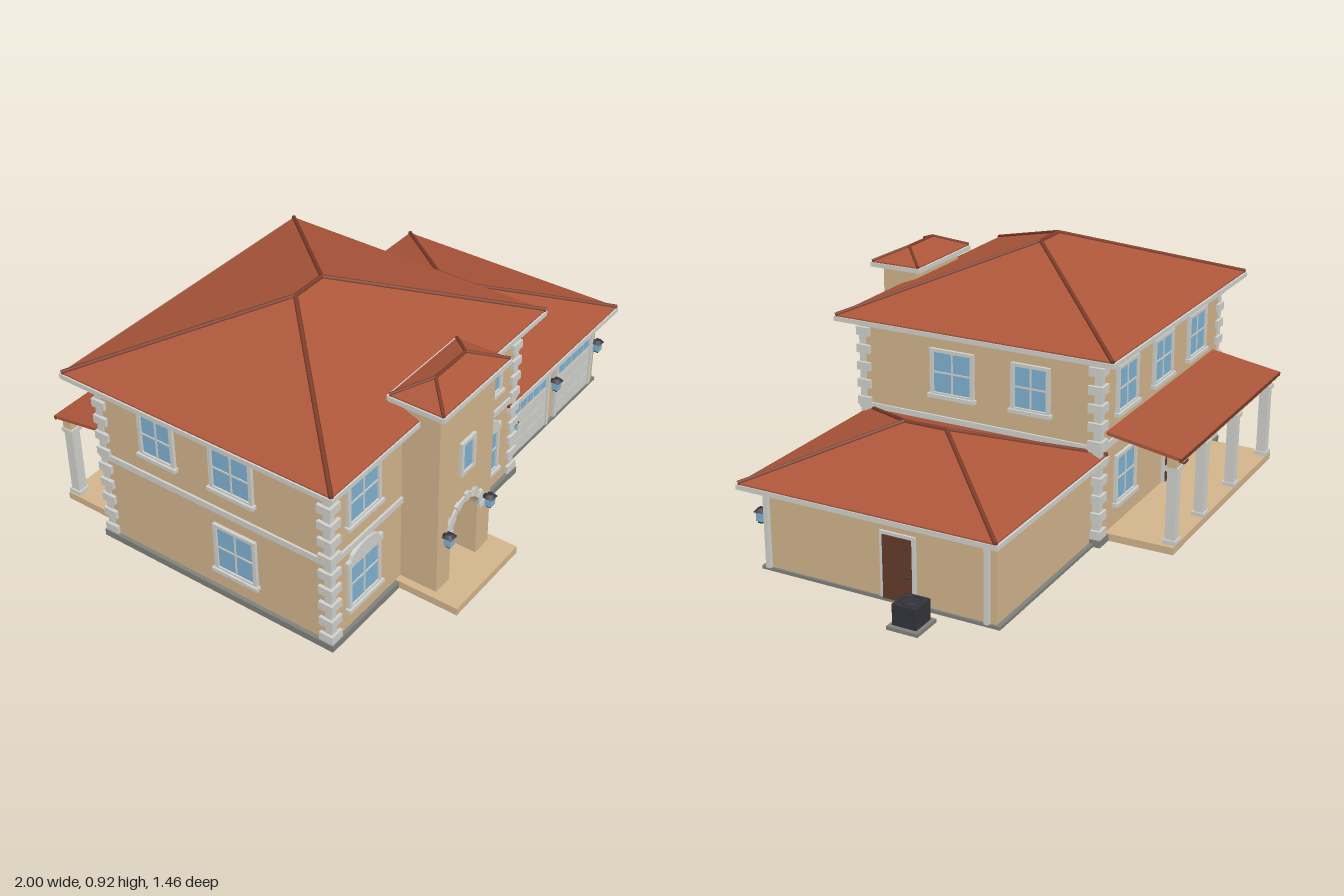
import * as THREE from 'three';

const mat = (name, color, side = THREE.FrontSide) => {
  const m = new THREE.MeshStandardMaterial({ color, side });
  m.name = name;
  return m;
};
const M = {
  wall: mat('tan stucco', 0xd2b48c),
  roof: mat('terracotta', 0xac563a),
  ridge: mat('dark terracotta', 0x7c3d2a),
  trim: mat('light trim', 0xd0d1cc),
  glass: mat('window glass', 0x80b2d2),
  door: mat('dark brown wood', 0x633b2b),
  base: mat('grey concrete', 0x80807b),
  dark: mat('charcoal metal', 0x33333b),
};

const add = (parent, name, geo, m, x = 0, y = 0, z = 0) => {
  const mesh = new THREE.Mesh(geo, m);
  mesh.name = name;
  mesh.position.set(x, y, z);
  parent.add(mesh);
  return mesh;
};
// box given by its limits on each axis
const span = (parent, name, m, x0, x1, y0, y1, z0, z1) =>
  add(parent, name, new THREE.BoxGeometry(x1 - x0, y1 - y0, z1 - z0), m, (x0 + x1) / 2, (y0 + y1) / 2, (z0 + z1) / 2);
const group = (parent, name, x = 0, y = 0, z = 0, turn = 0) => {
  const g = new THREE.Group();
  g.name = name;
  g.position.set(x, y, z);
  g.rotation.y = turn;
  parent.add(g);
  return g;
};

// hip roof with ridge half lengths rx, rz, eave slab, gutter and cap tiles
function hipRoof(parent, name, cx, cz, hx, hz, y0, y1, rx, rz, cap = 0.008) {
  const g = group(parent, name, cx, 0, cz);
  const sign = [[-1, 1], [1, 1], [1, -1], [-1, -1]];
  const low = sign.map(([a, b]) => new THREE.Vector3(a * hx, y0, b * hz));
  const top = sign.map(([a, b]) => new THREE.Vector3(a * rx, y1, b * rz));
  const pts = [];
  for (let i = 0; i < 4; i++) {
    const j = (i + 1) % 4;
    pts.push(low[i], low[j], top[j]);
    if (top[i].distanceTo(top[j]) > 1e-4) pts.push(low[i], top[j], top[i]);
  }
  const geo = new THREE.BufferGeometry().setFromPoints(pts);
  geo.computeVertexNormals();
  add(g, 'roofSlopes', geo, M.roof);
  span(g, 'eaveSlab', M.roof, -hx, hx, y0 - 0.01, y0, -hz, hz);
  for (const s of [-1, 1]) {
    span(g, 'gutter', M.trim, -hx - 0.003, hx + 0.003, y0 - 0.022, y0 - 0.005, s * hz - 0.008, s * hz + 0.003 * (s + 1));
    span(g, 'gutter', M.trim, s * hx - 0.006, s * hx + 0.004, y0 - 0.022, y0 - 0.005, -hz, hz);
  }
  const capTile = (a, b) => {
    const d = b.clone().sub(a);
    const c = add(g, 'capTiles', new THREE.CylinderGeometry(cap, cap, d.length(), 8), M.ridge);
    c.position.copy(a).addScaledVector(d, 0.5);
    c.quaternion.setFromUnitVectors(new THREE.Vector3(0, 1, 0), d.normalize());
  };
  low.forEach((p, i) => capTile(p, top[i]));
  capTile(top[0], top[2]);
}

// framed window facing local +z, centred on its glass
function windowUnit(parent, x, y, z, turn, w, h, arched = false, sill = true) {
  const g = group(parent, 'window', x, y, z, turn);
  span(g, 'glass', M.glass, -w / 2, w / 2, -h / 2, h / 2, 0, 0.005);
  for (const s of [-1, 1]) {
    span(g, 'frameSide', M.trim, s * w / 2 - 0.007, s * w / 2 + 0.007, -h / 2, h / 2, 0, 0.012);
    span(g, 'frameRail', M.trim, -w / 2 - 0.007, w / 2 + 0.007, s * h / 2 - 0.006, s * h / 2 + 0.006, 0, 0.012);
  }
  if (sill) {
    span(g, 'mullion', M.trim, -0.003, 0.003, -h / 2, h / 2, 0, 0.008);
    span(g, 'transom', M.trim, -w / 2, w / 2, -0.003, 0.003, 0, 0.008);
    span(g, 'sill', M.trim, -w / 2 - 0.014, w / 2 + 0.014, -h / 2 - 0.014, -h / 2, 0, 0.02);
  }
  if (arched) {
    // stepped arched head
    const s = new THREE.Shape();
    const a = w / 2 + 0.014;
    s.moveTo(-a, h / 2 - 0.01).lineTo(a, h / 2 - 0.01).lineTo(a, h / 2 + 0.016).lineTo(a * 0.8, h / 2 + 0.016);
    s.lineTo(a * 0.72, h / 2 + 0.034).quadraticCurveTo(0, h / 2 + 0.07, -a * 0.72, h / 2 + 0.034);
    s.lineTo(-a * 0.8, h / 2 + 0.016).lineTo(-a, h / 2 + 0.016);
    add(g, 'archedHead', new THREE.ExtrudeGeometry(s, { depth: 0.014, bevelEnabled: false }), M.trim);
  }
}

// pair of glazed wooden leaves in a light frame, bottom at local y = 0
function doubleDoor(parent, x, y, z, turn, w, h) {
  const g = group(parent, 'doubleDoor', x, y, z, turn);
  span(g, 'doorFrame', M.trim, -w / 2 - 0.012, w / 2 + 0.012, 0, h + 0.012, 0, 0.008);
  for (const s of [-1, 1]) {
    const c = s * w / 4;
    span(g, 'doorLeaf', M.door, c - w / 4 + 0.008, c + w / 4 - 0.008, 0, h, 0, 0.013);
    span(g, 'doorGlass', M.glass, c - w / 9, c + w / 9, h * 0.58, h * 0.92, 0.01, 0.016);
  }
}

function lantern(parent, x, y, z) {
  const g = group(parent, 'lantern', x, y, z);
  span(g, 'bracket', M.dark, -0.006, 0.006, 0.005, 0.018, -0.03, 0);
  span(g, 'lampGlass', M.glass, -0.013, 0.013, -0.018, 0.016, -0.013, 0.013);
  span(g, 'lampFoot', M.dark, -0.009, 0.009, -0.025, -0.018, -0.009, 0.009);
  const cap = add(g, 'lampCap', new THREE.CylinderGeometry(0.012, 0.026, 0.014, 4), M.dark, 0, 0.022, 0);
  cap.rotation.y = Math.PI / 4;
}

export function createModel() {
  const house = new THREE.Group();
  house.name = 'house';
  const H = Math.PI / 2;

  // plinths, walls and string course
  span(house, 'mainPlinth', M.base, -0.94, 0.17, 0, 0.025, -0.475, 0.5);
  span(house, 'garagePlinth', M.base, 0.15, 0.84, 0, 0.012, -0.45, 0.45);
  span(house, 'mainWalls', M.wall, -0.925, 0.155, 0.02, 0.685, -0.46, 0.485);
  span(house, 'garageWalls', M.wall, 0.15, 0.832, 0.01, 0.31, -0.435, 0.44);
  span(house, 'stringCourse', M.trim, -0.933, 0.163, 0.343, 0.366, -0.468, 0.493);

  // corner quoins, alternately long and short
  for (const [cx, sx] of [[-0.925, 1], [0.155, -1]]) for (const [cz, sz] of [[-0.46, 1], [0.485, -1]])
    for (let i = 0; i < 20; i++) {
      const l = i % 2 ? 0.022 : 0.042, out = i % 2 ? 0.004 : 0.012, y = 0.042 + i * 0.0328;
      const e = l + out;
      add(house, 'quoin', new THREE.BoxGeometry(e, 0.031, e), M.trim, cx + sx * (l - out) / 2, y, cz + sz * (l - out) / 2);
    }

  // roofs
  hipRoof(house, 'mainRoof', -0.39, 0.01, 0.607, 0.538, 0.697, 0.908, 0.07, 0);
  hipRoof(house, 'garageRoof', 0.503, 0.01, 0.395, 0.477, 0.324, 0.478, 0, 0.08);
  hipRoof(house, 'entryRoof', -0.387, 0.557, 0.19, 0.1, 0.777, 0.822, 0.085, 0, 0.006);

  // entry tower with arched porch
  const ex = -0.387;
  const front = new THREE.Shape();
  front.moveTo(-0.158, 0.025).lineTo(-0.08, 0.025).lineTo(-0.08, 0.235);
  front.absarc(0, 0.235, 0.08, Math.PI, 0, true);
  front.lineTo(0.08, 0.025).lineTo(0.158, 0.025).lineTo(0.158, 0.765).lineTo(-0.158, 0.765);
  add(house, 'entryTower', new THREE.ExtrudeGeometry(front, { depth: 0.142, bevelEnabled: false, curveSegments: 20 }), M.wall, ex, 0, 0.485);
  const ring = new THREE.Shape();
  ring.absarc(0, 0, 0.102, 0, Math.PI, false);
  ring.absarc(0, 0, 0.08, Math.PI, 0, true);
  add(house, 'archTrim', new THREE.ExtrudeGeometry(ring, { depth: 0.01, bevelEnabled: false, curveSegments: 20 }), M.trim, ex, 0.235, 0.625);
  for (let i = 0; i <= 6; i++) {
    const a = Math.PI * i / 6;
    const b = add(house, 'archStone', new THREE.BoxGeometry(0.032, 0.022, 0.016), M.trim, ex + Math.cos(a) * 0.096, 0.235 + Math.sin(a) * 0.096, 0.63);
    b.rotation.z = a;
  }
  span(house, 'entrySlab', M.wall, -0.573, -0.201, 0, 0.028, 0.48, 0.727);
  doubleDoor(house, ex, 0.028, 0.486, 0, 0.136, 0.245);
  windowUnit(house, -0.39, 0.505, 0.627, 0, 0.07, 0.12, false, false);
  for (const x of [-0.51, -0.265]) lantern(house, x, 0.238, 0.65);

  // front, side and rear windows
  for (const x of [-0.757, -0.043]) {
    windowUnit(house, x, 0.53, 0.485, 0, 0.16, 0.16);
    windowUnit(house, x, 0.2, 0.485, 0, 0.16, 0.178, true);
  }
  for (const [z, w] of [[0.107, 0.16], [-0.2, 0.135]]) {
    windowUnit(house, 0.155, 0.53, z, H, w, 0.16);
    windowUnit(house, -0.925, 0.53, z, -H, w, 0.16);
  }
  windowUnit(house, -0.925, 0.2, 0.107, -H, 0.16, 0.178);
  for (const x of [-0.05, -0.36, -0.68]) windowUnit(house, x, 0.53, -0.46, Math.PI, 0.16, 0.16);
  windowUnit(house, -0.05, 0.2, -0.46, Math.PI, 0.16, 0.17);

  // rear patio
  doubleDoor(house, -0.52, 0.028, -0.46, Math.PI, 0.24, 0.23);
  span(house, 'patioSlab', M.wall, -0.87, 0.1, 0, 0.027, -0.715, -0.46);
  span(house, 'patioBeam', M.wall, -0.86, 0.085, 0.312, 0.352, -0.71, -0.675);
  const pr = add(house, 'patioRoof', new THREE.BoxGeometry(0.975, 0.012, 0.285), M.roof, -0.385, 0.376, -0.592);
  pr.rotation.x = -0.165;
  const pe = add(house, 'patioEave', new THREE.BoxGeometry(0.977, 0.014, 0.008), M.ridge, -0.385, 0.351, -0.731);
  pe.rotation.x = -0.165;
  for (const x of [0.06, -0.2, -0.5, -0.84]) {
    span(house, 'column', M.trim, x - 0.018, x + 0.018, 0.027, 0.312, -0.71, -0.674);
    span(house, 'columnBase', M.trim, x - 0.024, x + 0.024, 0.027, 0.042, -0.716, -0.668);
    span(house, 'columnCap', M.trim, x - 0.024, x + 0.024, 0.295, 0.312, -0.716, -0.668);
  }

  // garage doors with a row of lights
  for (const x of [0.338, 0.66]) {
    const g = group(house, 'garageDoor', x, 0.012, 0.44);
    for (const s of [-1, 1]) span(g, 'doorJamb', M.trim, s * 0.13 - 0.008, s * 0.13 + 0.008, 0, 0.245, 0, 0.012);
    span(g, 'doorHead', M.trim, -0.138, 0.138, 0.23, 0.245, 0, 0.012);
    for (let i = 0; i < 4; i++) span(g, 'doorPanel', M.trim, -0.125, 0.125, i * 0.0575, i * 0.0575 + 0.0555, 0, 0.006);
    for (let i = -2; i <= 2; i++) span(g, 'doorLight', M.glass, i * 0.046 - 0.019, i * 0.046 + 0.019, 0.186, 0.218, 0.005, 0.008);
  }
  for (const x of [0.19, 0.502, 0.813]) lantern(house, x, 0.18, 0.463);

  // garage side door and downspouts
  span(house, 'sideDoorFrame', M.trim, 0.83, 0.84, 0.012, 0.246, -0.148, -0.016);
  span(house, 'sideDoor', M.door, 0.83, 0.844, 0.012, 0.235, -0.135, -0.028);
  add(house, 'doorKnob', new THREE.SphereGeometry(0.006, 10, 8), M.dark, 0.848, 0.105, -0.122);
  for (const z of [0.42, -0.405]) span(house, 'downspout', M.trim, 0.832, 0.848, 0.012, 0.31, z - 0.008, z + 0.008);

  // outdoor cooling unit
  span(house, 'coolingPad', M.base, 0.885, 1, 0, 0.012, -0.25, -0.137);
  span(house, 'coolingUnit', M.dark, 0.897, 0.984, 0.012, 0.085, -0.236, -0.149);
  const grille = add(house, 'fanGrille', new THREE.TorusGeometry(0.032, 0.004, 6, 24), M.dark, 0.94, 0.087, -0.193);
  grille.rotation.x = H;
  return house;
}
